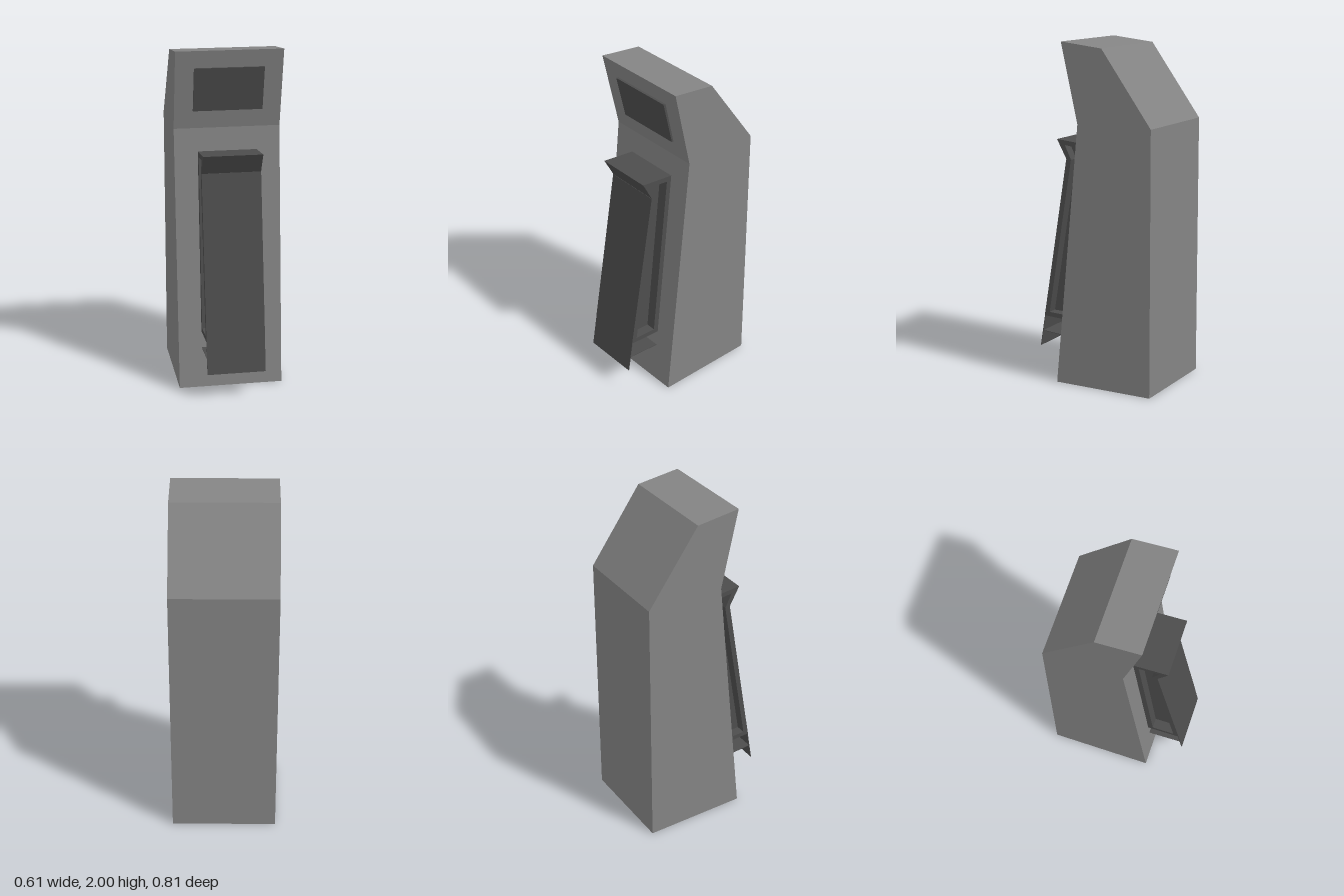
import * as THREE from 'three';

const bodyGrey = new THREE.MeshStandardMaterial({ color: 0x848484 });
bodyGrey.name = 'body grey';
const darkGrey = new THREE.MeshStandardMaterial({ color: 0x4d4d4d });
darkGrey.name = 'dark grey';

const toPoints = (list) => list.map(([z, y]) => new THREE.Vector2(z, y));

// Extrudes a side profile of [z, y] points across x, centred on the given x
function profileMesh(name, profile, width, material, x = 0, hole = null) {
  const shape = new THREE.Shape(toPoints(profile));
  if (hole) shape.holes.push(new THREE.Path(toPoints(hole)));
  const geometry = new THREE.ExtrudeGeometry(shape, { depth: width, bevelEnabled: false });
  geometry.translate(0, 0, -width / 2);
  geometry.rotateY(-Math.PI / 2);
  geometry.translate(x, 0, 0);
  const mesh = new THREE.Mesh(geometry, material);
  mesh.name = name;
  return mesh;
}

export function createModel() {
  const model = new THREE.Group();
  model.name = 'kiosk';

  // Cabinet with a leaning front, overhanging head and sloped back
  model.add(profileMesh('cabinet', [
    [0.208, 0], [0.06, 1.54], [0.165, 2], [-0.095, 1.97], [-0.405, 1.54], [-0.405, 0],
  ], 0.614, bodyGrey));

  // Screen on the head
  model.add(profileMesh('screen', [
    [0.084, 1.645], [0.095, 1.645], [0.156, 1.9], [0.141, 1.9],
  ], 0.4, darkGrey));

  // Front box: a solid core with a recessed frame on each side
  const outline = [[0.175, 0.34], [0.375, 0.35], [0.215, 1.31], [0.278, 1.425], [0.07, 1.405]];
  const recess = [[0.205, 0.37], [0.34, 0.375], [0.185, 1.31], [0.226, 1.393], [0.105, 1.378]];
  const box = new THREE.Group();
  box.name = 'frontBox';
  const depth = 0.06, width = 0.342;
  box.add(profileMesh('boxCore', outline, width - 2 * depth, darkGrey));
  for (const [name, side] of [['leftFrame', 1], ['rightFrame', -1]]) {
    box.add(profileMesh(name, outline, depth, darkGrey, side * (width - depth) / 2, recess));
  }

  // Thin front panel reaching below the box, and the shelf behind it
  box.add(profileMesh('frontPanel', [
    [0.401, 0.16], [0.405, 0.16], [0.217, 1.31], [0.213, 1.31],
  ], width, darkGrey));
  box.add(profileMesh('lowerShelf', [
    [0.185, 0.239], [0.388, 0.253], [0.388, 0.256], [0.185, 0.242],
  ], width, darkGrey));
  model.add(box);

  return model;
}
